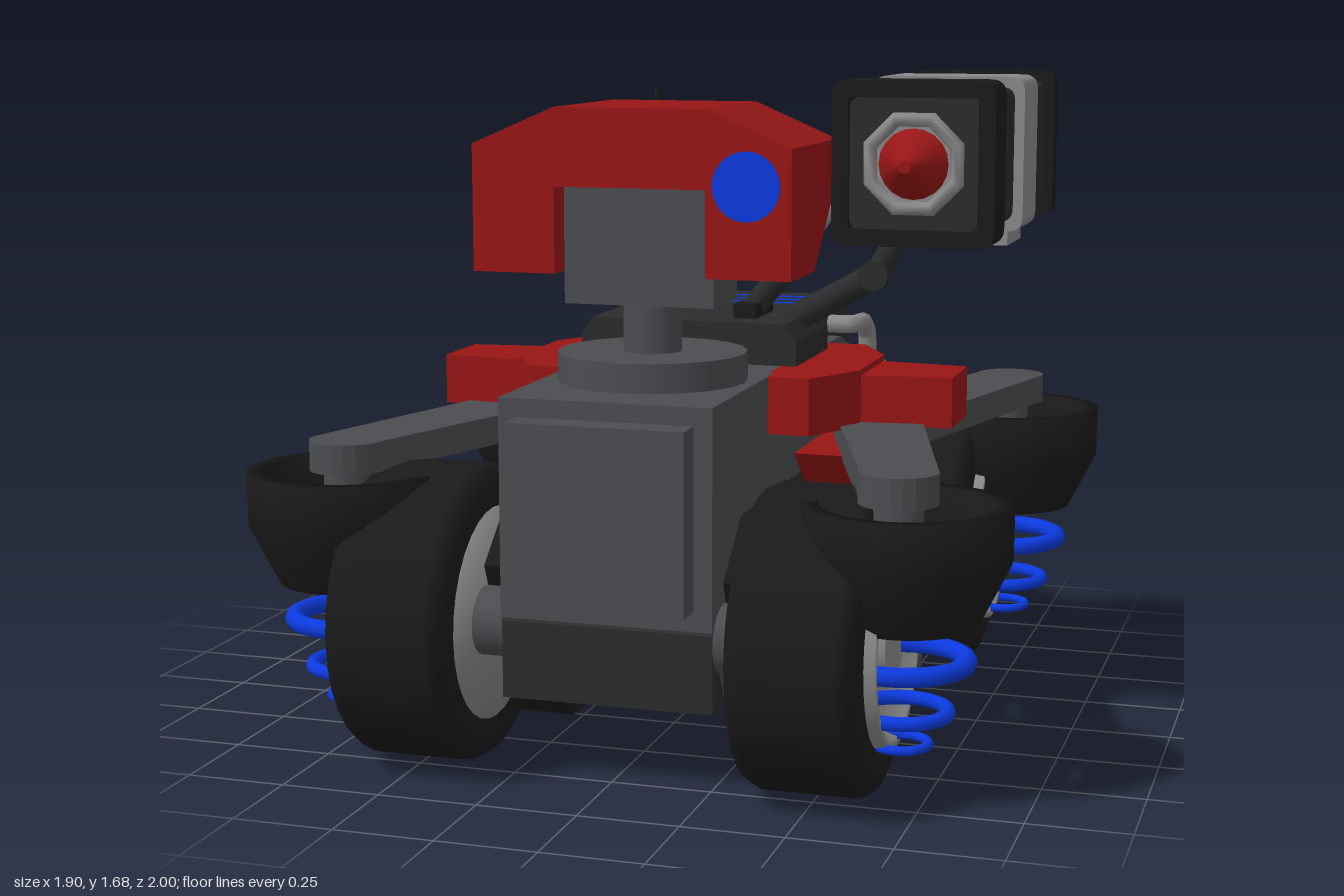
import * as THREE from 'three';
import { RoundedBoxGeometry } from 'three/addons/geometries/RoundedBoxGeometry.js';

const mat = color => new THREE.MeshStandardMaterial({ color, side: THREE.DoubleSide });
const RED = mat(0x981616), HULL = mat(0x4b4d50), DARK = mat(0x2a2b2c), BLACK = mat(0x1a1a1a),
  LIGHT = mat(0x8a8a8a), BLUE = mat(0x0c3ae0);

const shapeOf = pts => new THREE.Shape(pts.map(p => new THREE.Vector2(p[0], p[1])));

export function createModel() {
  const root = new THREE.Group();
  const add = (name, geo, material, x = 0, y = 0, z = 0, parent = root) => {
    const m = new THREE.Mesh(geo, material);
    m.name = name;
    m.position.set(x, y, z);
    parent.add(m);
    return m;
  };
  const group = name => {
    const g = new THREE.Group();
    g.name = name;
    root.add(g);
    return g;
  };
  // box given by its limits
  const box = (name, material, x0, x1, y0, y1, z0, z1, parent = root) =>
    add(name, new THREE.BoxGeometry(x1 - x0, y1 - y0, z1 - z0), material, (x0 + x1) / 2, (y0 + y1) / 2, (z0 + z1) / 2, parent);
  const extrude = (shape, depth, steps = 1) => new THREE.ExtrudeGeometry(shape, { depth, steps, bevelEnabled: false, curveSegments: 8 });
  // profile in (z, y), extruded across x
  const side = (name, material, shape, x0, x1, parent = root) =>
    add(name, extrude(shape, x1 - x0).rotateY(-Math.PI / 2), material, x1, 0, 0, parent);
  // profile in (x, z), extruded between two heights
  const plan = (name, material, shape, y0, y1, parent = root) =>
    add(name, extrude(shape, y1 - y0).rotateX(Math.PI / 2), material, 0, y1, 0, parent);
  const rod = (name, material, a, b, r0, r1 = r0, parent = root, seg = 12) => {
    const A = new THREE.Vector3(...a), B = new THREE.Vector3(...b), d = B.clone().sub(A);
    const m = add(name, new THREE.CylinderGeometry(r1, r0, d.length(), seg), material, 0, 0, 0, parent);
    m.position.copy(A.add(B).multiplyScalar(0.5));
    m.quaternion.setFromUnitVectors(new THREE.Vector3(0, 1, 0), d.normalize());
    return m;
  };
  const lathe = (pts, seg) => new THREE.LatheGeometry(pts.map(p => new THREE.Vector2(p[0], p[1])), seg);

  // Hull
  side('hull', HULL, shapeOf([[0.79, 0.935], [0.79, 0.4], [0.68, 0.2], [-0.58, 0.2], [-0.94, 0.66], [-0.94, 0.73], [-0.86, 0.79], [-0.45, 0.935]]), -0.265, 0.265);
  box('lowerFront', DARK, -0.264, 0.264, 0.2, 0.4, 0.6, 0.785);
  box('frontPanel', HULL, -0.22, 0.22, 0.45, 0.89, 0.78, 0.87);
  side('spineStripe', RED, shapeOf([[0.14, 0.93], [0.14, 0.97], [-0.42, 0.97], [-0.52, 0.925], [-0.52, 0.88]]), -0.055, 0.055);

  // Running gear on both sides
  for (const s of [1, -1]) {
    const X = (a, b) => (s > 0 ? [a, b] : [-b, -a]);
    const sideGroup = group(s > 0 ? 'leftSide' : 'rightSide');

    side('sideBody', HULL, shapeOf([[0.45, 0.58], [-0.45, 0.58], [-0.38, 0.3], [-0.2, 0.2], [0.2, 0.2], [0.38, 0.3]]), ...X(0.25, 0.36), sideGroup);

    // Track loop
    const belt = shapeOf([[0.55, 0.632], [-0.55, 0.632], [-0.7, 0.5], [-0.68, 0.28], [-0.58, 0.11], [-0.46, 0.01], [0.29, 0.01], [0.43, 0.12], [0.6, 0.28], [0.7, 0.5]]);
    belt.holes.push(shapeOf([[0.54, 0.6], [0.66, 0.49], [0.57, 0.3], [0.41, 0.15], [0.28, 0.042], [-0.45, 0.042], [-0.56, 0.14], [-0.65, 0.3], [-0.66, 0.49], [-0.54, 0.6]]));
    side('track', BLACK, belt, ...X(0.265, 0.5), sideGroup);

    // Lower bracket with its post and rollers
    side('bracket', HULL, shapeOf([[0.12, 0.42], [0.12, 0.3], [0.32, 0.19], [0.32, 0.12], [0.02, 0.16], [0, 0.08], [-0.15, 0.08], [-0.18, 0.16], [-0.48, 0.12], [-0.48, 0.19], [-0.2, 0.3], [-0.12, 0.42]]), ...X(0.42, 0.5), sideGroup);
    side('post', HULL, shapeOf([[0.12, 0.4], [0.26, 0.26], [0.03, 0.22], [0, 0.08], [-0.15, 0.08], [-0.18, 0.22], [-0.27, 0.26], [-0.13, 0.4]]), ...X(0.5, 0.57), sideGroup);
    for (const z of [0.29, -0.45]) rod('roller', RED, [s * 0.3, 0.15, z], [s * 0.52, 0.15, z], 0.1, 0.1, sideGroup, 20);

    // Red shoulder and the skirt below it
    plan('shoulder', RED, shapeOf([[0.25, -0.31], [0.37, -0.31], [0.46, -0.14], [0.46, 0.14], [0.37, 0.31], [0.25, 0.31]].map(p => [s * p[0], p[1]])), 0.79, 0.935, sideGroup);
    plan('shoulderTip', RED, shapeOf([[0.45, -0.13], [0.69, -0.1], [0.69, 0.1], [0.45, 0.13]].map(p => [s * p[0], p[1]])), 0.79, 0.92, sideGroup);
    side('skirt', RED, shapeOf([[0.26, 0.735], [0.13, 0.63], [0.1, 0.42], [-0.1, 0.42], [-0.13, 0.63], [-0.26, 0.735]]), ...X(0.32, 0.45), sideGroup);

    for (const f of [1, -1]) {
      const z = f * 0.6325, tipZ = f > 0 ? 0.72 : 0.77;
      // Swing arm
      const arm = new THREE.Shape();
      arm.moveTo(s * 0.36, 0);
      for (let i = 0; i <= 10; i++) {
        const a = Math.PI * (1 - i / 10);
        arm.lineTo(s * (0.69 + 0.095 * Math.cos(a)), f * (tipZ + 0.095 * Math.sin(a)));
      }
      arm.lineTo(s * 0.59, 0);
      plan('swingArm', HULL, arm, 0.725, 0.8, sideGroup);

      // Wheel, turned about the x axis with its outer face up the profile
      const wheel = new THREE.Group();
      wheel.name = 'wheel';
      wheel.position.set(s * 0.495, 0.368, z);
      wheel.rotation.z = -s * Math.PI / 2;
      sideGroup.add(wheel);
      add('tyre', lathe([[0.25, -0.15], [0.32, -0.155], [0.352, -0.145], [0.368, -0.115], [0.368, 0.115], [0.352, 0.14], [0.32, 0.152], [0.255, 0.155], [0.245, 0.1]], 32), BLACK, 0, 0, 0, wheel);
      add('rim', lathe([[0, -0.152], [0.265, -0.152], [0.25, 0.18], [0.225, 0.18], [0.19, 0.1], [0, 0.1]], 32), LIGHT, 0, 0, 0, wheel);
      rod('hub', LIGHT, [0, 0.08, 0], [0, 0.17, 0], 0.12, 0.1, wheel, 20);
      rod('axle', HULL, [s * 0.2, 0.365, f * 0.7], [s * 0.36, 0.365, f * 0.7], 0.085, 0.085, sideGroup, 20);

      // Spring cup and spring coils
      const cup = [[0.16, 0.52], [0.155, 0.44], [0.17, 0.44], [0.245, 0.59], [0.247, 0.72], [0.205, 0.72], [0.2, 0.62], [0.175, 0.6], [0.16, 0.52]];
      add('springCup', lathe(cup, 32), BLACK, s * 0.705, 0, f * 0.695, sideGroup);
      rod('springSeat', LIGHT, [s * 0.7, 0.45, f * 0.69], [s * 0.7, 0.48, f * 0.69], 0.12, 0.12, sideGroup, 24);
      rod('springPin', HULL, [s * 0.69, 0.47, f * 0.72], [s * 0.69, 0.74, f * 0.72], 0.06, 0.06, sideGroup);
      for (const [y, r, t] of [[0.345, 0.152, 0.024], [0.222, 0.11, 0.018], [0.144, 0.065, 0.012]])
        add('springCoil', new THREE.TorusGeometry(r, t, 8, 28).rotateX(Math.PI / 2), BLUE, s * 0.695, y, f * 0.685, sideGroup);
    }
  }

  // Head on its turntable
  const head = group('head');
  rod('turntable', HULL, [0, 0.92, 0.42], [0, 1.007, 0.42], 0.235, 0.235, head, 20);
  rod('neck', HULL, [0, 1, 0.42], [0, 1.16, 0.42], 0.072, 0.072, head, 20);
  box('face', HULL, -0.19, 0.19, 1.13, 1.44, 0.33, 0.53, head);
  const hoodShape = shapeOf([[-0.4, 1.21], [-0.19, 1.21], [-0.19, 1.42], [0.19, 1.42], [0.19, 1.21], [0.4, 1.21], [0.4, 1.52], [0.19, 1.61], [-0.19, 1.61], [-0.4, 1.52]]);
  const hood = extrude(hoodShape, 0.44, 2);
  const p = hood.attributes.position;
  for (let i = 0; i < p.count; i++) // raise the lower back edge
    if (p.getZ(i) < 0.01 && p.getY(i) < 1.3) p.setY(i, 1.419);
  hood.computeVertexNormals();
  add('hood', hood, RED, 0, 0, 0.16, head);
  rod('eye', BLUE, [0.29, 1.43, 0.59], [0.29, 1.43, 0.605], 0.083, 0.083, head, 28);

  // Deck housing and antenna
  const deck = group('deckHousing');
  const housing = shapeOf([[-0.29, 0.93], [0.29, 0.93], [0.29, 1.0], [0.26, 1.043], [-0.26, 1.043], [-0.29, 1.0]]);
  add('housing', extrude(housing, 0.33), DARK, 0, 0, -0.2, deck);
  rod('antennaBase', BLACK, [-0.13, 1.03, -0.03], [-0.13, 1.12, -0.03], 0.04, 0.032, deck);
  rod('antenna', BLACK, [-0.13, 1.1, -0.03], [-0.13, 1.63, -0.03], 0.014, 0.011, deck, 8);

  // Cannon support arm
  const support = group('cannonArm');
  box('armFoot', BLACK, 0.1, 0.16, 1.03, 1.08, -0.12, 0.05, support);
  rod('lowerArm', DARK, [0.16, 0.99, -0.03], [0.46, 1.16, -0.03], 0.038, 0.034, support);
  rod('elbow', DARK, [0.46, 1.16, -0.07], [0.46, 1.16, 0.01], 0.04, 0.04, support);
  rod('upperArm', DARK, [0.46, 1.16, -0.03], [0.54, 1.3, -0.03], 0.032, 0.03, support);
  rod('strutSleeve', DARK, [0.12, 1.05, -0.03], [0.28, 1.24, -0.03], 0.032, 0.032, support);
  rod('strutRod', LIGHT, [0.26, 1.22, -0.03], [0.45, 1.47, -0.03], 0.018, 0.018, support);
  box('mount', LIGHT, 0.4, 0.5, 1.435, 1.53, -0.09, 0.02, support);

  // Cannon, made of square sections with rounded corners
  const cannon = group('cannon');
  const cx = 0.66, cy = 1.482;
  const section = (name, material, half, z0, z1, hole = 0) => {
    const r = half * 0.2, c = half - r, f = new THREE.Shape();
    f.moveTo(-c, -half);
    for (const [x, y, qx, qy, ex, ey] of [[c, -half, half, -half, half, -c], [half, c, half, half, c, half],
      [-c, half, -half, half, -half, c], [-half, -c, -half, -half, -c, -half]]) {
      f.lineTo(x, y);
      f.quadraticCurveTo(qx, qy, ex, ey);
    }
    if (hole) f.holes.push(shapeOf([[-hole, -hole], [-hole, hole], [hole, hole], [hole, -hole]]));
    add(name, extrude(f, z1 - z0), material, cx, cy, z0, cannon);
  };
  section('barrel', DARK, 0.167, -0.43, 0.36);
  section('frontFrame', BLACK, 0.195, 0.34, 0.48, 0.155);
  section('frontPlate', DARK, 0.156, 0.35, 0.465);
  section('rearFrame', BLACK, 0.192, -0.475, -0.42, 0.13);
  section('clamp', LIGHT, 0.192, -0.14, 0.06);
  box('clampFoot', LIGHT, 0.49, 0.815, 1.255, 1.31, -0.14, 0.06, cannon);
  add('muzzleRing', new THREE.TorusGeometry(0.112, 0.018, 6, 8).rotateZ(Math.PI / 8), LIGHT, cx, cy, 0.468, cannon);
  rod('muzzleDisc', LIGHT, [cx, cy, 0.43], [cx, cy, 0.469], 0.1, 0.1, cannon, 24);
  rod('tip', RED, [cx, cy, 0.46], [cx, cy, 0.57], 0.09, 0.015, cannon, 20);
  add('exhaust', new THREE.TorusGeometry(0.08, 0.018, 8, 20), BLACK, cx, cy, -0.435, cannon);

  // Rear power pack with vents and pipes
  const pack = group('powerPack');
  add('packBody', new RoundedBoxGeometry(0.38, 0.21, 0.4, 3, 0.025), DARK, 0, 0.896, -0.672, pack);
  for (const z of [-0.75, -0.68, -0.605]) box('vent', BLUE, -0.155, 0.155, 0.98, 1.003, z - 0.009, z + 0.009, pack);
  const pipe = (name, pts) => {
    const path = new THREE.CatmullRomCurve3(pts.map(q => new THREE.Vector3(...q)), false, 'catmullrom', 0.2);
    add(name, new THREE.TubeGeometry(path, 70, 0.026, 10), LIGHT, 0, 0, 0, pack);
  };
  pipe('leftPipe', [[0.17, 0.945, -0.62], [0.25, 0.945, -0.62], [0.265, 0.945, -0.65], [0.265, 0.94, -0.73], [0.265, 0.9, -0.78],
    [0.265, 0.81, -0.8], [0.265, 0.785, -0.84], [0.265, 0.785, -0.93], [0.235, 0.785, -0.955], [0.12, 0.785, -0.955], [0.09, 0.785, -0.93], [0.09, 0.79, -0.85]]);
  pipe('rightPipe', [[-0.17, 0.92, -0.66], [-0.22, 0.92, -0.66], [-0.245, 0.92, -0.69], [-0.245, 0.92, -0.89], [-0.215, 0.92, -0.925],
    [-0.125, 0.92, -0.925], [-0.1, 0.92, -0.9], [-0.1, 0.92, -0.84]]);

  return root;
}
